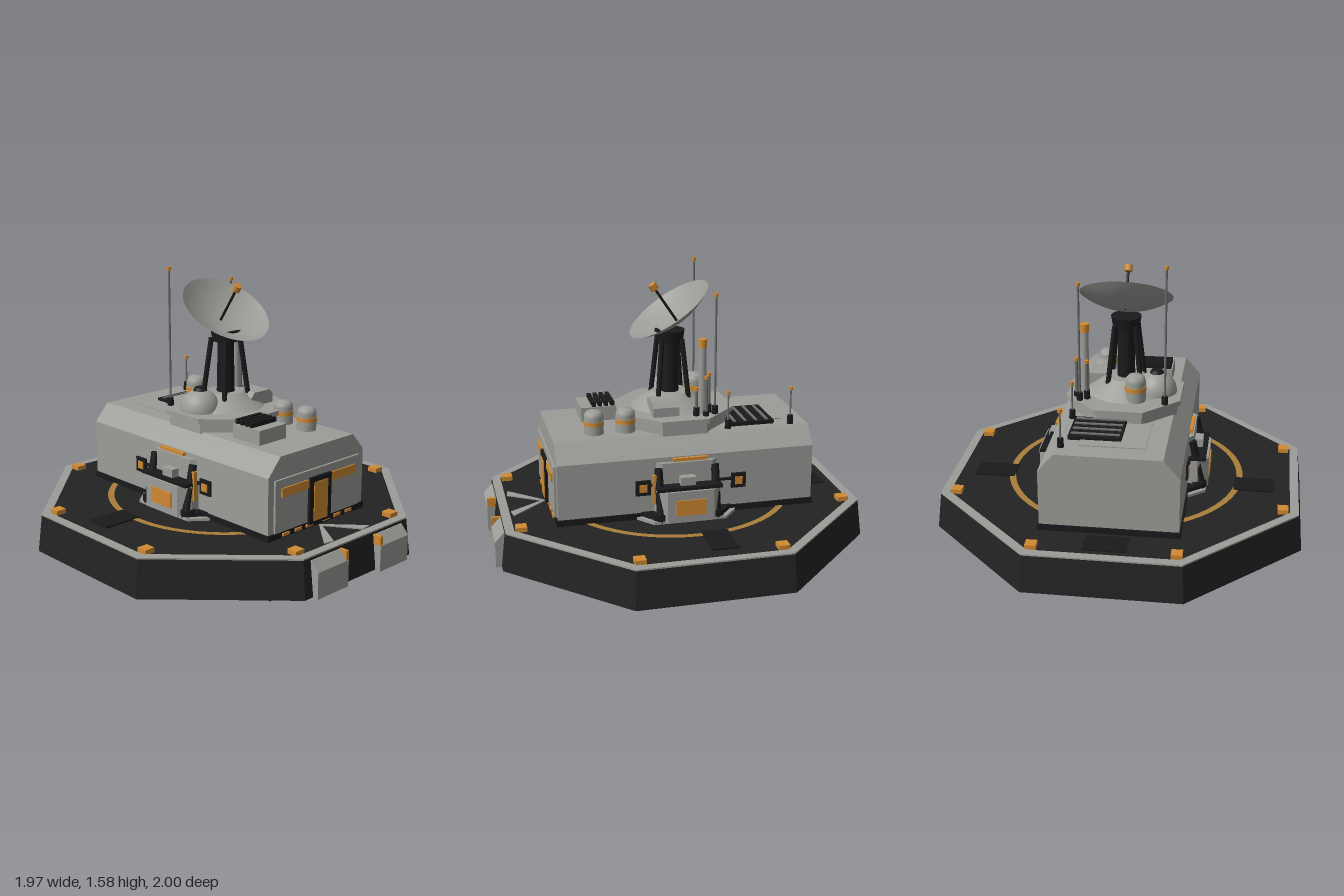
import * as THREE from 'three';

const mat = (name, color, side = THREE.FrontSide) => {
  const m = new THREE.MeshStandardMaterial({ color, side });
  m.name = name;
  return m;
};

export function createModel() {
  const root = new THREE.Group();
  root.name = 'outpost';
  const grey = mat('hullGrey', 0x9c9c98);
  const dishGrey = mat('dishGrey', 0x9c9c98, THREE.DoubleSide);
  const metal = mat('antennaMetal', 0x70706e);
  const dark = mat('deckDark', 0x232323);
  const black = mat('trimBlack', 0x191a1b);
  const orange = mat('signalOrange', 0xd08a32);
  const paint = mat('wornOrangePaint', 0xa87d3a);
  const CZ = -0.015;

  const add = (name, geo, m, x = 0, y = 0, z = 0, parent = root) => {
    const mesh = new THREE.Mesh(geo, m);
    mesh.name = name;
    mesh.position.set(x, y, z);
    parent.add(mesh);
    return mesh;
  };
  // box given by its limits on each axis
  const box = (name, m, x0, x1, y0, y1, z0, z1, parent = root) =>
    add(name, new THREE.BoxGeometry(x1 - x0, y1 - y0, z1 - z0), m,
      (x0 + x1) / 2, (y0 + y1) / 2, (z0 + z1) / 2, parent);
  const cyl = (name, m, rTop, rBottom, x, z, y0, y1, sides = 16, parent = root) =>
    add(name, new THREE.CylinderGeometry(rTop, rBottom, y1 - y0, sides), m, x, (y0 + y1) / 2, z, parent);
  const shapeOf = pts => new THREE.Shape(pts.map(([x, y]) => new THREE.Vector2(x, y)));
  // floor plan of [x, z] points raised from y0 to y1
  const plan = (name, m, pts, y0, y1, hole, parent = root) => {
    const s = shapeOf(pts.map(([x, z]) => [x, -z]));
    if (hole) s.holes.push(shapeOf(hole.map(([x, z]) => [x, -z])));
    const g = new THREE.ExtrudeGeometry(s, { depth: y1 - y0, bevelEnabled: false });
    return add(name, g.rotateX(-Math.PI / 2), m, 0, y0, 0, parent);
  };
  const octagon = (apothem, cz) => Array.from({ length: 8 }, (_, i) => {
    const a = Math.PI / 8 + i * Math.PI / 4, r = apothem / Math.cos(Math.PI / 8);
    return [r * Math.cos(a), cz + r * Math.sin(a)];
  });
  // straight rod between two points
  const rod = (name, m, a, b, r, sides = 8, parent = root) => {
    const p = new THREE.Vector3(...a), q = new THREE.Vector3(...b), d = q.clone().sub(p);
    const mesh = add(name, new THREE.CylinderGeometry(r, r, d.length(), sides), m, 0, 0, 0, parent);
    mesh.position.copy(p).add(q).multiplyScalar(0.5);
    mesh.quaternion.setFromUnitVectors(new THREE.Vector3(0, 1, 0), d.normalize());
    return mesh;
  };

  // foundation following the building outline
  const half = [[0.37, 0.7], [0.37, 0.36], [0.475, 0.26], [0.475, -0.29], [0.37, -0.39], [0.37, -0.73]];
  plan('foundation', black, [...half, ...half.map(([x, z]) => [-x, z]).reverse()], 0, 0.115);

  // octagonal platform with rim
  const k = 1 / Math.cos(Math.PI / 8);
  const slab = new THREE.CylinderGeometry(0.962 * k, 0.985 * k, 0.198, 8).rotateY(Math.PI / 8).toNonIndexed();
  slab.computeVertexNormals();
  add('platform', slab, dark, 0, 0.208, CZ);
  plan('platformRim', grey, octagon(0.962, CZ), 0.3, 0.315, octagon(0.915, CZ));
  add('deckRing', new THREE.RingGeometry(0.62, 0.655, 64).rotateX(-Math.PI / 2), paint, 0, 0.311, CZ);

  // deck hatches, lights and landing marks
  box('rearHatch', black, -0.11, 0.11, 0.3, 0.314, -0.89, -0.75);
  for (const [x, z] of octagon(0.955, CZ))
    add('deckLight', new THREE.BoxGeometry(0.058, 0.025, 0.058), orange, x * 0.92, 0.322, CZ + (z - CZ) * 0.92);
  for (const s of [-1, 1]) {
    const x = 0.72 * s;
    box('sideHatch', black, x - 0.11, x + 0.11, 0.3, 0.316, -0.17, -0.03);
    const mark = [[0, 0.69], [0.175 * s, 0.88], [0.115 * s, 0.89], [0, 0.71]];
    plan('deckChevron', grey, s > 0 ? mark : mark.reverse(), 0.305, 0.313);

    // front docking pads
    const pad = new THREE.ExtrudeGeometry(
      shapeOf([[-0.9, 0.105], [-0.9, 0.295], [-0.955, 0.295], [-1, 0.245], [-1, 0.105]]),
      { depth: 0.225, bevelEnabled: false }).rotateY(Math.PI / 2);
    add('dockingPad', pad, grey, s > 0 ? 0.125 : -0.35, 0, 0);
    box('padMarker', orange, s * 0.133 - 0.009, s * 0.133 + 0.009, 0.245, 0.297, 0.94, 0.998);
  }

  // main hull
  const hull = new THREE.ExtrudeGeometry(
    shapeOf([[-0.36, 0.31], [0.36, 0.31], [0.36, 0.64], [0.275, 0.737], [-0.275, 0.737], [-0.36, 0.64]]),
    { depth: 1.385, bevelEnabled: false });
  add('hull', hull, grey, 0, 0, -0.715);
  box('hullSkirt', black, -0.368, 0.368, 0.305, 0.34, -0.722, 0.678);

  // front wall and door
  box('frontPanel', grey, -0.32, 0.32, 0.342, 0.62, 0.66, 0.682);
  box('frontStripe', orange, -0.28, 0.28, 0.528, 0.575, 0.675, 0.69);
  box('doorFrame', black, -0.082, 0.082, 0.33, 0.582, 0.67, 0.697);
  box('door', orange, -0.052, 0.052, 0.345, 0.555, 0.69, 0.701);
  for (const x of [-0.24, -0.15, -0.065, 0.065, 0.15, 0.24])
    box('sillMarker', orange, x - 0.025, x + 0.025, 0.316, 0.332, 0.67, 0.686);

  // side bays, built for +x and turned into a mirrored copy
  for (const s of [1, -1]) {
    const bay = new THREE.Group();
    bay.name = s > 0 ? 'leftBay' : 'rightBay';
    root.add(bay);
    const b = (name, m, x0, x1, ...r) => s > 0 ? box(name, m, x0, x1, ...r, bay) : box(name, m, -x1, -x0, ...r, bay);
    const p = (name, m, pts, y0, y1) =>
      plan(name, m, s > 0 ? pts : pts.map(([x, z]) => [-x, z]).reverse(), y0, y1, null, bay);
    p('bayFloor', grey, [[0.35, -0.3], [0.46, -0.21], [0.46, 0.18], [0.35, 0.27]], 0.305, 0.322);
    p('baySkirt', black, [[0.35, -0.27], [0.435, -0.2], [0.435, 0.17], [0.35, 0.24]], 0.31, 0.345);
    p('bayBody', grey, [[0.35, -0.19], [0.41, -0.19], [0.468, -0.14], [0.468, 0.11], [0.41, 0.16], [0.35, 0.16]], 0.31, 0.482);
    b('bayLid', black, 0.35, 0.455, 0.482, 0.5, -0.19, 0.16);
    b('bayWindow', orange, 0.46, 0.474, 0.35, 0.435, -0.095, 0.065);
    p('bayUpper', grey, [[0.35, -0.19], [0.385, -0.15], [0.385, 0.12], [0.35, 0.16]], 0.5, 0.615);
    b('bayVent', grey, 0.38, 0.43, 0.5, 0.545, -0.05, 0.03);
    b('bayStripe', orange, 0.34, 0.378, 0.618, 0.635, -0.125, 0.06);
    b('sideRail', black, 0.35, 0.375, 0.488, 0.5, -0.26, 0.2);
    for (const z of [-0.165, 0.14]) {
      rod('bayStrut', black, [0.435 * s, 0.33, z], [0.38 * s, 0.59, z], 0.022, 6, bay);
      rod('strutFoot', black, [0.42 * s, 0.315, z], [0.42 * s, 0.355, z], 0.042, 8, bay);
    }
    b('bayLamp', orange, 0.38, 0.402, 0.4, 0.56, 0.152, 0.172);
    for (const z of [-0.3, 0.22]) {
      b('windowFrame', black, 0.35, 0.372, 0.44, 0.522, z - 0.04, z + 0.04);
      b('windowPane', orange, 0.37, 0.377, 0.46, 0.502, z - 0.021, z + 0.021);
    }
  }

  // roof turret base
  plan('turretBase', grey, octagon(0.288, -0.025), 0.73, 0.795);
  plan('turretPlate', grey, octagon(0.308, -0.025), 0.79, 0.816);
  cyl('turretDome', grey, 0.1, 0.215, 0, -0.015, 0.815, 0.895, 32);
  const bulge = add('sideDome', new THREE.SphereGeometry(0.11, 24, 10, 0, Math.PI * 2, 0, Math.PI / 2), grey, -0.17, 0.815, -0.03);
  bulge.scale.y = 1.05;
  cyl('sideDomeCap', black, 0.03, 0.04, -0.17, -0.03, 0.92, 0.94);
  const pod = [[0.06, 0.815], [0.225, 0.815], [0.225, 0.865], [0.2, 0.892], [0.085, 0.892], [0.06, 0.865]];
  add('equipmentPod', new THREE.ExtrudeGeometry(shapeOf(pod), { depth: 0.14, bevelEnabled: false }), grey, 0, 0, -0.01);

  // banded storage tanks
  const tank = (x, z, y0, y1, r) => {
    const g = new THREE.Group();
    g.name = 'bandedTank';
    root.add(g);
    const h = y1 - y0;
    const pts = [[r, 0], [r, h * 0.72], [r * 0.92, h * 0.86], [r * 0.68, h * 0.96], [0, h]]
      .map(q => new THREE.Vector2(...q));
    add('tankBody', new THREE.LatheGeometry(pts, 24), grey, x, y0, z, g);
    cyl('tankBand', orange, r + 0.003, r + 0.003, x, z, y0 + h * 0.4, y0 + h * 0.56, 24, g);
  };
  tank(0.165, 0.27, 0.735, 0.865, 0.052);
  tank(0.165, 0.44, 0.735, 0.865, 0.052);
  tank(-0.07, -0.17, 0.816, 0.965, 0.055);

  // mast with braces
  cyl('mast', black, 0.043, 0.05, 0, -0.01, 0.87, 1.19, 16);
  cyl('mastCollar', black, 0.082, 0.072, 0, -0.01, 1.175, 1.235, 20);
  for (const sx of [-1, 1]) for (const sz of [-1, 1])
    rod('mastBrace', black, [sx * 0.09, 0.86, -0.01 + sz * 0.085], [sx * 0.055, 1.19, -0.01 + sz * 0.055], 0.014);

  // tilted dish with feed horn
  const dish = new THREE.Group();
  dish.name = 'dish';
  dish.position.set(0, 1.347, -0.005);
  dish.rotation.x = 0.59;
  root.add(dish);
  const bowl = Array.from({ length: 11 }, (_, i) => new THREE.Vector2(0.025 * i, 0.08 * ((i / 10) ** 2 - 1)));
  add('dishBowl', new THREE.LatheGeometry(bowl, 48), dishGrey, 0, 0, 0, dish);
  cyl('feedRod', black, 0.007, 0.007, 0, 0, -0.08, 0.14, 8, dish);
  cyl('feedHorn', orange, 0.022, 0.022, 0, 0, 0.13, 0.165, 8, dish);

  // whip antennas: x, z, foot, top, radius
  for (const [x, z, y0, y1, r] of [
    [-0.23, -0.205, 0.81, 1.575, 0.006], [0.225, -0.205, 0.81, 1.47, 0.006],
    [0.255, -0.27, 0.735, 0.945, 0.005], [0.255, -0.62, 0.735, 0.945, 0.005],
    [0.25, -0.15, 0.79, 1.035, 0.009], [0.19, -0.18, 0.81, 1.035, 0.009], [0.235, -0.1, 0.81, 0.97, 0.008],
  ]) {
    cyl('antennaFoot', black, 0.016, 0.018, x, z, y0, y0 + 0.05, 8);
    cyl('antennaRod', metal, r, r, x, z, y0, y1 - 0.015, 8);
    cyl('antennaTip', orange, 0.012, 0.012, x, z, y1 - 0.018, y1, 8);
  }
  cyl('signalTower', grey, 0.02, 0.024, 0.205, -0.14, 0.81, 1.18, 12);
  cyl('signalTowerCap', orange, 0.024, 0.024, 0.205, -0.14, 1.18, 1.225, 12);

  // roof cooler
  box('coolerBox', grey, -0.225, -0.03, 0.73, 0.815, 0.28, 0.475);
  for (let i = 0; i < 4; i++)
    box('coolerFin', black, -0.218, -0.038, 0.81, 0.84, 0.29 + i * 0.034, 0.31 + i * 0.034);

  // rear roof vent
  box('roofPanel', grey, -0.175, 0.17, 0.73, 0.742, -0.6, -0.3);
  box('ventBed', black, -0.042, 0.235, 0.73, 0.757, -0.535, -0.29);
  for (let i = 0; i < 4; i++)
    box('ventSlat', metal, -0.03, 0.223, 0.75, 0.764, -0.505 + i * 0.06, -0.492 + i * 0.06);

  return root;
}
